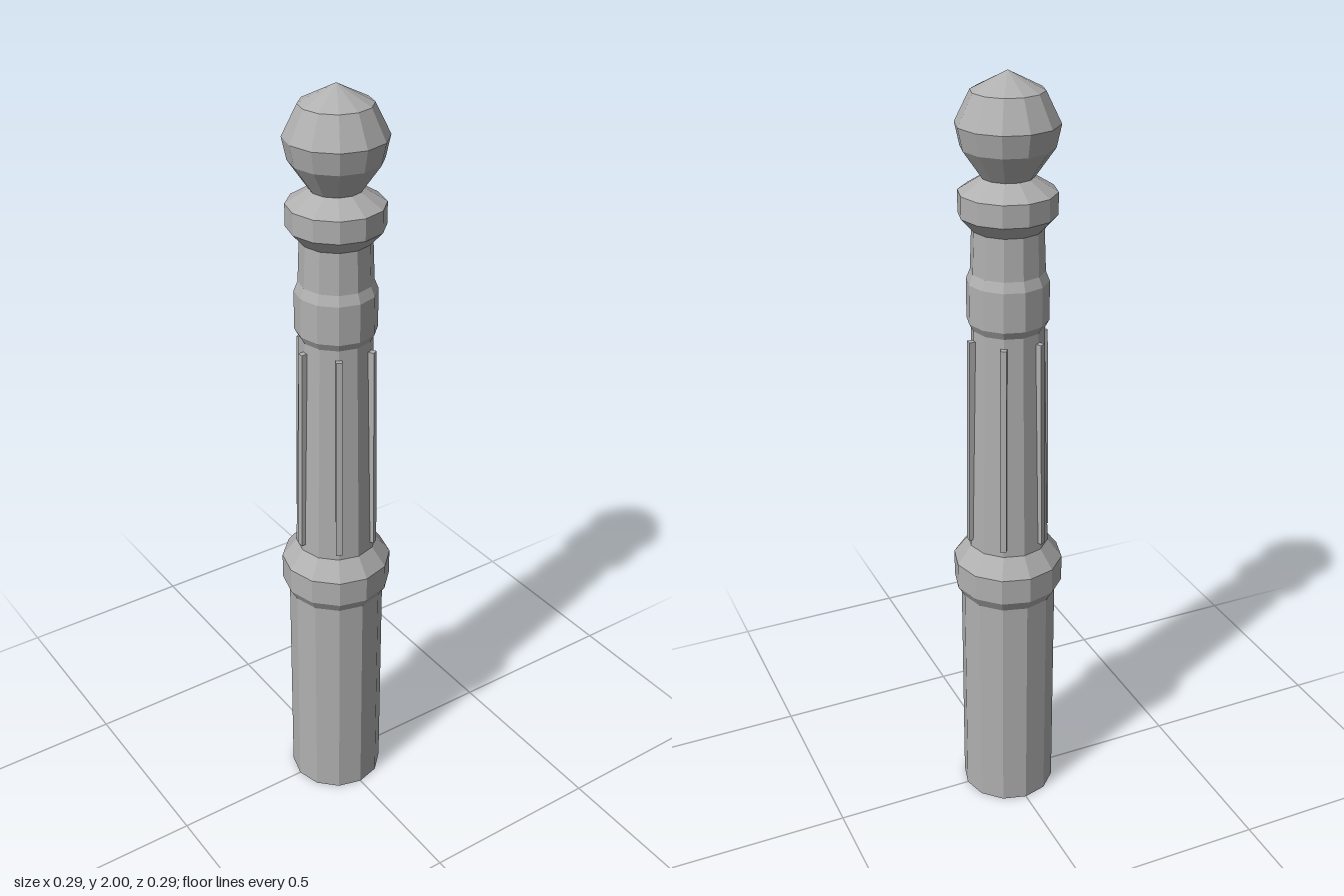
import * as THREE from 'three';

export function createModel() {
  const model = new THREE.Group();
  model.name = 'bollard';
  const castMetal = new THREE.MeshStandardMaterial({ color: 0xb0b0b0, flatShading: true, side: THREE.DoubleSide });
  castMetal.name = 'castMetalGrey';

  // Twelve-sided turned section; profile is [radius, height] from bottom to top
  function turned(name, profile) {
    const points = profile.map(([r, y]) => new THREE.Vector2(r, y));
    const mesh = new THREE.Mesh(new THREE.LatheGeometry(points, 12), castMetal);
    mesh.name = name;
    model.add(mesh);
  }

  // Post, open underneath
  turned('basePost', [[0.125, 0], [0.125, 0.63]]);
  turned('lowerCollar', [[0.125, 0.63], [0.143, 0.66], [0.143, 0.73], [0.105, 0.78]]);
  turned('taperedShaft', [[0.105, 0.78], [0.091, 1.38]]);
  turned('shaftBand', [[0.091, 1.38], [0.102, 1.40], [0.102, 1.50], [0.092, 1.525]]);
  turned('neck', [[0.092, 1.525], [0.088, 1.63]]);
  turned('upperCollar', [[0.088, 1.63], [0.12, 1.665], [0.12, 1.72], [0.064, 1.755]]);
  turned('finial', [[0.064, 1.755], [0.113, 1.825], [0.125, 1.88], [0.088, 1.955], [0, 2]]);

  // Six raised ribs that lean with the taper of the shaft
  const yLow = 0.8, yHigh = 1.355;
  const ribGeometry = new THREE.BoxGeometry(0.03, yHigh - yLow, 0.016);
  ribGeometry.translate(0, (yLow + yHigh) / 2, 0);
  const p = ribGeometry.attributes.position;
  for (let i = 0; i < p.count; i++) {
    const outer = p.getY(i) > 1 ? 0.105 : 0.113;
    p.setX(i, p.getX(i) > 0 ? outer : outer - 0.03);
  }
  ribGeometry.computeVertexNormals();
  for (let i = 0; i < 6; i++) {
    const rib = new THREE.Mesh(ribGeometry, castMetal);
    rib.name = 'shaftRib' + (i + 1);
    rib.rotation.y = i * Math.PI / 3;
    model.add(rib);
  }
  return model;
}
